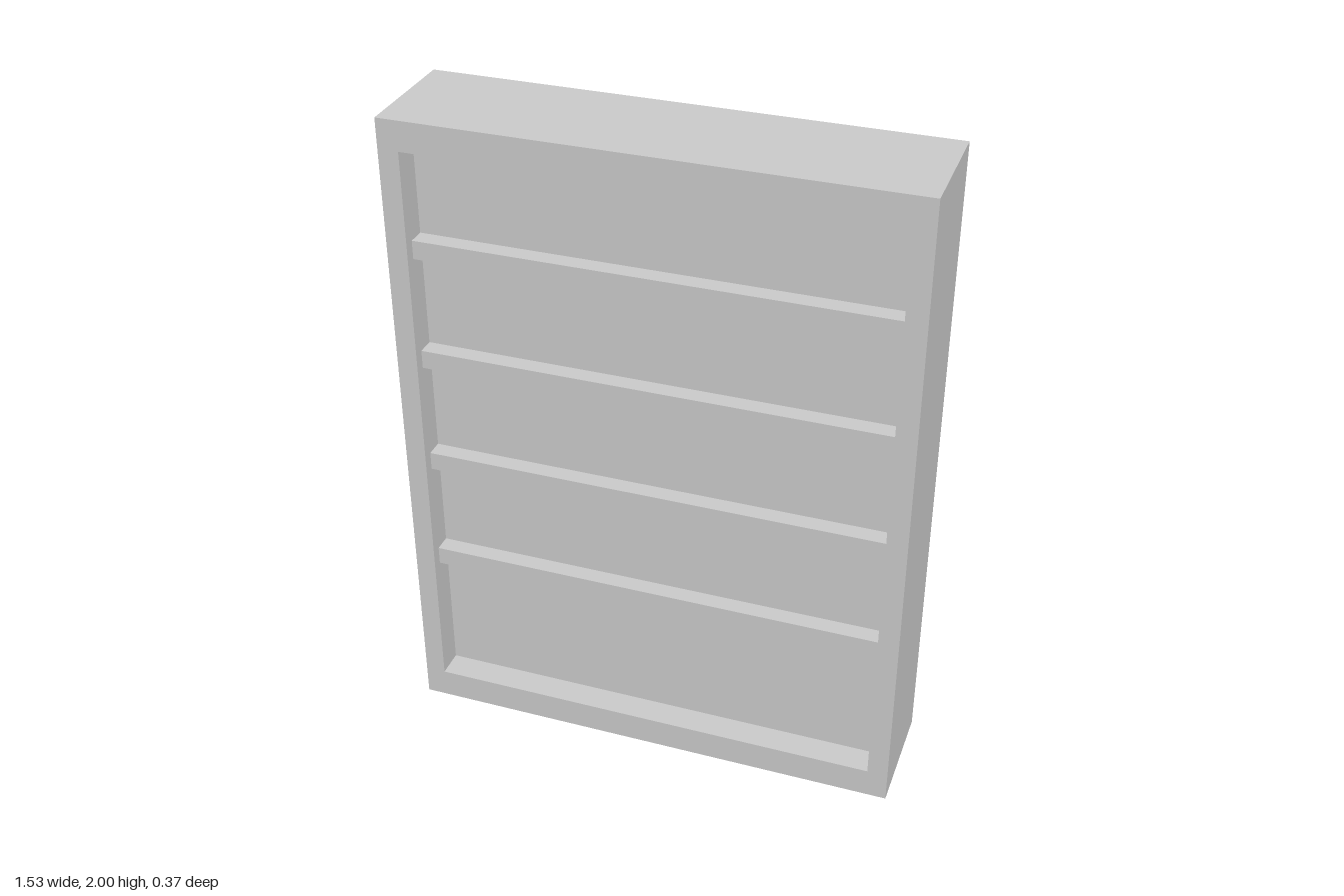
import * as THREE from 'three';

const W = 1.53, H = 2, FRONT = 0.183, BACK = -0.183;
const IN_W = 1.406, IN_Y0 = 0.093, IN_Y1 = 1.91;
const PANEL_FRONT = 0.096, PANEL_BACK = -0.166;

export function createModel() {
  const model = new THREE.Group();
  model.name = 'shelfCabinet';
  const solid = new THREE.MeshStandardMaterial({ color: 0xcccccc });
  const sheet = new THREE.MeshStandardMaterial({ color: 0xcccccc, side: THREE.DoubleSide });

  function add(parent, name, geometry, material, x, y, z) {
    const mesh = new THREE.Mesh(geometry, material);
    mesh.name = name;
    mesh.position.set(x, y, z);
    parent.add(mesh);
    return mesh;
  }

  // Four thin walls around a rectangle, open at front and back
  function sleeve(name, width, y0, y1, z0, z1) {
    const group = new THREE.Group();
    group.name = name;
    const depth = z1 - z0, z = (z0 + z1) / 2, y = (y0 + y1) / 2;
    for (const s of [-1, 1]) {
      const side = new THREE.PlaneGeometry(depth, y1 - y0).rotateY(s * Math.PI / 2);
      add(group, s > 0 ? 'leftWall' : 'rightWall', side, sheet, s * width / 2, y, z);
      const level = new THREE.PlaneGeometry(width, depth).rotateX(-s * Math.PI / 2);
      add(group, s > 0 ? 'topWall' : 'bottomWall', level, sheet, 0, s > 0 ? y1 : y0, z);
    }
    model.add(group);
  }

  // Outer case, open at the back
  sleeve('outerCase', W, 0, H, BACK, FRONT);

  // Front frame face with the shelf opening
  const face = new THREE.Shape([
    new THREE.Vector2(-W / 2, 0), new THREE.Vector2(W / 2, 0),
    new THREE.Vector2(W / 2, H), new THREE.Vector2(-W / 2, H),
  ]);
  face.holes.push(new THREE.Path([
    new THREE.Vector2(-IN_W / 2, IN_Y0), new THREE.Vector2(-IN_W / 2, IN_Y1),
    new THREE.Vector2(IN_W / 2, IN_Y1), new THREE.Vector2(IN_W / 2, IN_Y0),
  ]));
  add(model, 'frontFrame', new THREE.ShapeGeometry(face), sheet, 0, 0, FRONT);

  // Inner walls of the opening, and the thick panel closing it
  sleeve('openingWalls', IN_W, IN_Y0, IN_Y1, PANEL_FRONT, FRONT);
  add(model, 'backPanel',
    new THREE.BoxGeometry(IN_W, IN_Y1 - IN_Y0, PANEL_FRONT - PANEL_BACK), solid,
    0, (IN_Y0 + IN_Y1) / 2, (PANEL_FRONT + PANEL_BACK) / 2);

  // Shelves run through the panel and show at the back too
  const shelfFront = 0.15;
  for (let i = 0; i < 4; i++) {
    add(model, 'shelf' + (i + 1),
      new THREE.BoxGeometry(1.488, 0.057, shelfFront - BACK), solid,
      0, 0.539 + i * 0.354, (shelfFront + BACK) / 2);
  }
  return model;
}
